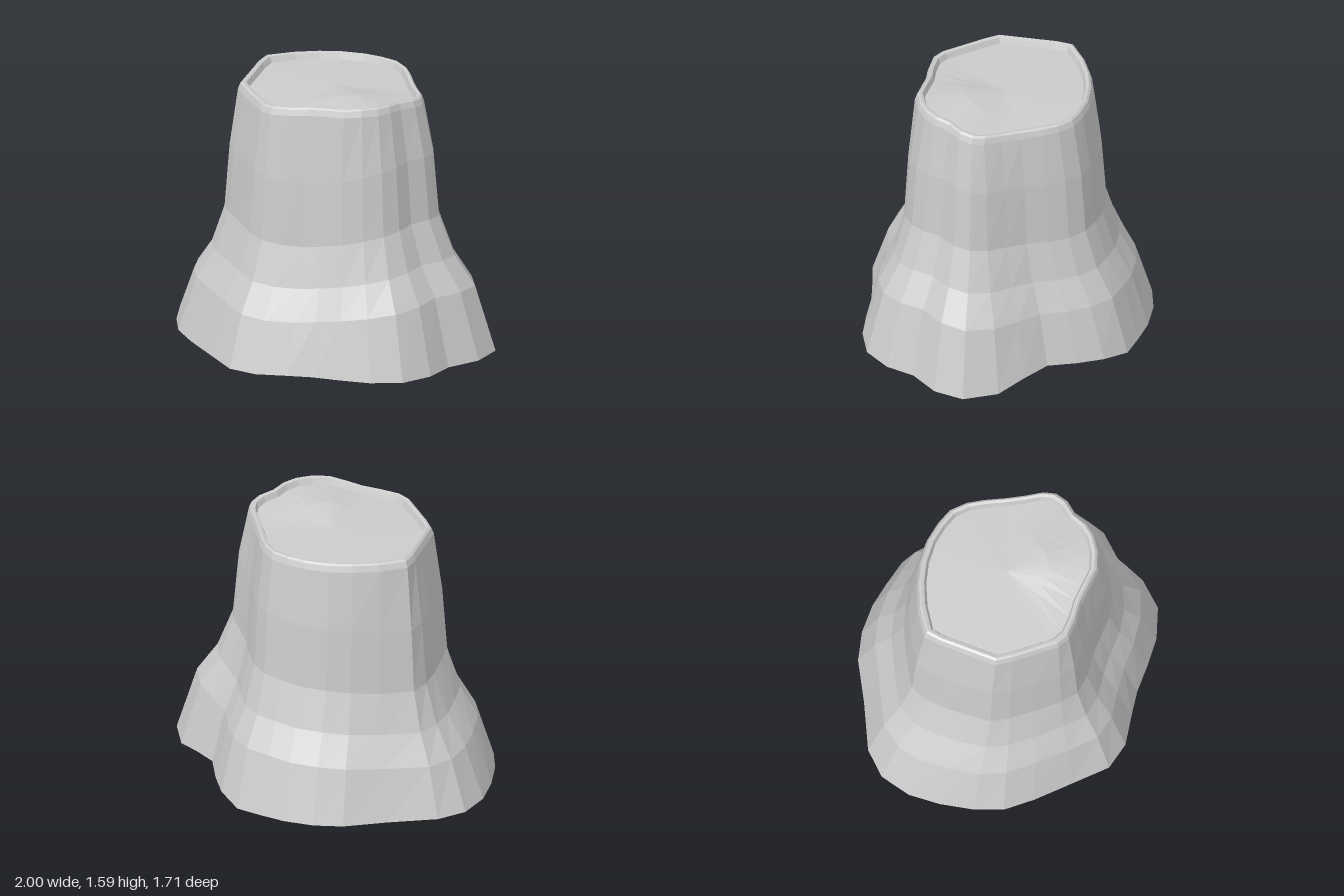
import * as THREE from 'three';

// Ground outline and sawn-top outline as matching [x, z] points, running from +x towards +z
const BASE = [
  [1, 0.02], [0.96, 0.2], [0.83, 0.36], [0.78, 0.53], [0.66, 0.68], [0.48, 0.75],
  [0.3, 0.77], [0.13, 0.78], [-0.02, 0.81], [-0.2, 0.85], [-0.37, 0.82], [-0.55, 0.66],
  [-0.73, 0.5], [-0.86, 0.36], [-0.93, 0.2], [-0.98, 0], [-1, -0.19], [-0.96, -0.38],
  [-0.84, -0.52], [-0.58, -0.66], [-0.35, -0.8], [-0.18, -0.85], [0, -0.86], [0.15, -0.84],
  [0.31, -0.81], [0.45, -0.7], [0.54, -0.56], [0.62, -0.4], [0.76, -0.29], [0.9, -0.17],
];
const TOP = [
  [0.56, 0.07], [0.54, 0.15], [0.48, 0.23], [0.45, 0.32], [0.4, 0.39], [0.32, 0.45],
  [0.22, 0.49], [0.1, 0.485], [0, 0.48], [-0.12, 0.495], [-0.23, 0.495], [-0.3, 0.46],
  [-0.4, 0.35], [-0.49, 0.25], [-0.55, 0.17], [-0.555, 0.05], [-0.56, -0.08], [-0.565, -0.18],
  [-0.555, -0.28], [-0.42, -0.38], [-0.28, -0.45], [-0.15, -0.49], [0, -0.505], [0.12, -0.49],
  [0.22, -0.46], [0.3, -0.39], [0.36, -0.3], [0.42, -0.19], [0.48, -0.09], [0.54, 0],
];
const N = BASE.length;
// Small gap under the root on the back left
const LIFT = { 25: 0.03, 26: 0.04, 27: 0.05, 28: 0.035 };

const material = new THREE.MeshStandardMaterial({ color: 0xcccccc, flatShading: true });

// Wavy height of the sawn edge, highest at the front left
function topHeight([x, z]) {
  const facing = Math.max(0, Math.cos(Math.atan2(z, x) - 0.9));
  return 1.55 + 0.045 * facing ** 3;
}

// Trunk ring: flare 1 is the ground outline, 0 the top outline
function trunkRing(y, flare) {
  return TOP.map((p, i) => {
    const x = THREE.MathUtils.lerp(p[0], BASE[i][0], flare);
    const z = THREE.MathUtils.lerp(p[1], BASE[i][1], flare);
    const angle = Math.atan2(z, x);
    const rise = 0.08 * Math.max(0, Math.cos(angle)) + 0.02 * Math.sin(3 * angle);
    return [x, y + rise, z];
  });
}

// Ring on the sawn top, shrunk towards the middle and dropped below the edge
const topRing = (scale, drop) => TOP.map(p => [p[0] * scale, topHeight(p) - drop, p[1] * scale]);
const groundRing = () => BASE.map((p, i) => [p[0], LIFT[i] || 0, p[1]]);
const pointRing = y => BASE.map(() => [0, y, 0]);

// Skin a list of rings
function loft(name, rings) {
  const pos = [];
  for (let r = 0; r < rings.length - 1; r++) {
    for (let i = 0; i < N; i++) {
      const j = (i + 1) % N, a = rings[r], b = rings[r + 1];
      pos.push(...a[j], ...a[i], ...b[i], ...a[j], ...b[i], ...b[j]);
    }
  }
  const geometry = new THREE.BufferGeometry();
  geometry.setAttribute('position', new THREE.Float32BufferAttribute(pos, 3));
  geometry.computeVertexNormals();
  const mesh = new THREE.Mesh(geometry, material);
  mesh.name = name;
  return mesh;
}

export function createModel() {
  const stump = new THREE.Group();
  stump.name = 'treeStump';

  // Bark with flared roots
  const bark = loft('bark', [
    groundRing(),
    trunkRing(0.32, 0.72),
    trunkRing(0.5, 0.44),
    trunkRing(0.74, 0.23),
    trunkRing(1.13, 0.15),
    topRing(1.01, 0.045),
  ]);

  // Rounded bark edge, stepping down to the wood
  const rim = loft('barkRim', [
    topRing(1.01, 0.045),
    topRing(0.985, 0.01),
    topRing(0.96, 0),
    topRing(0.925, 0.005),
    topRing(0.9, 0.04),
  ]);

  // Slightly uneven sawn wood
  const wood = loft('sawnWood', [topRing(0.9, 0.04), topRing(0.45, 0.03), pointRing(1.53)]);

  const underside = loft('underside', [pointRing(0), groundRing()]);

  stump.add(bark, rim, wood, underside);
  return stump;
}
